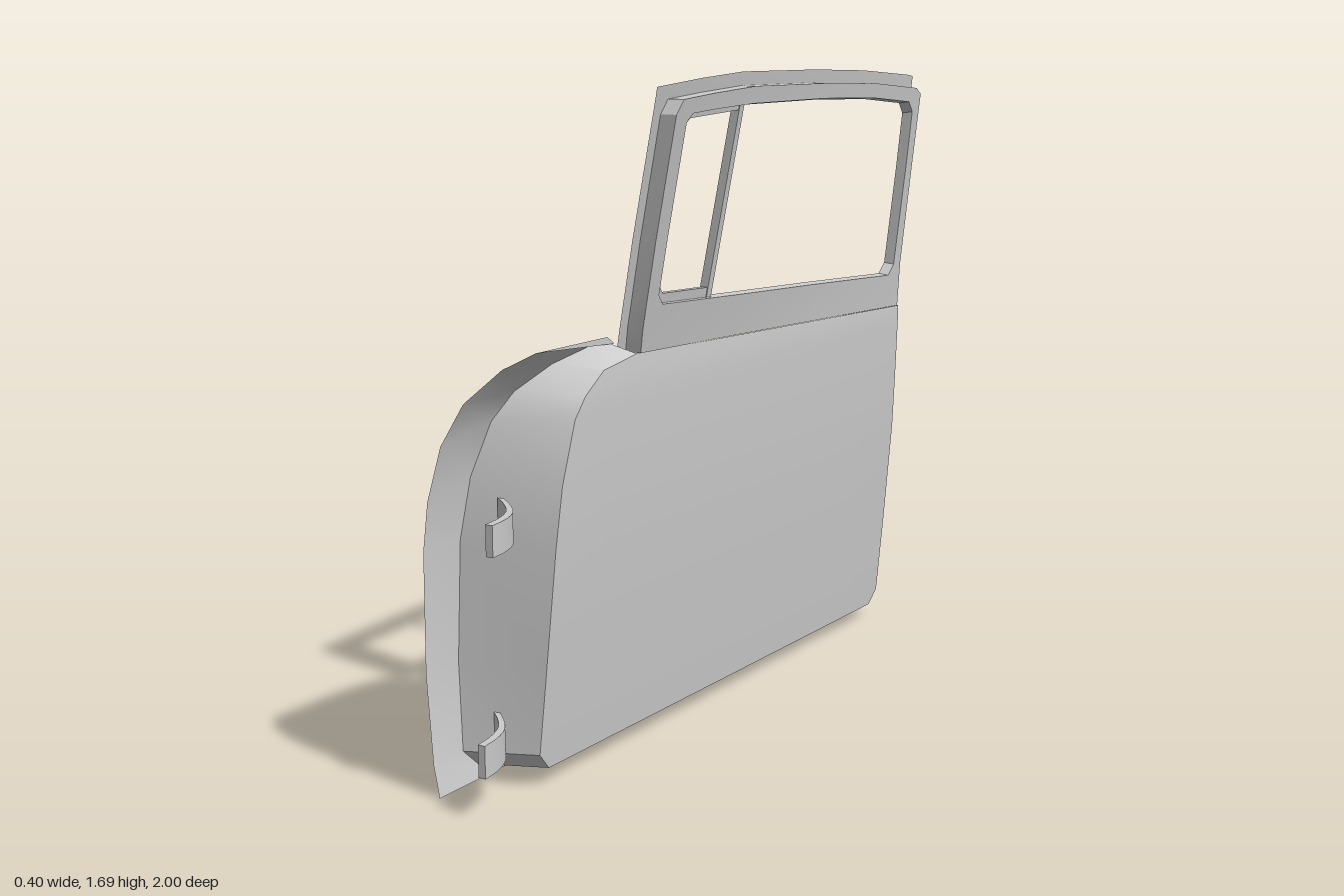
import * as THREE from 'three';
import { toCreasedNormals } from 'three/addons/utils/BufferGeometryUtils.js';

const material = new THREE.MeshStandardMaterial({ color: 0xcccccc, side: THREE.DoubleSide });

// Linear lookup in a list of [y, x] pairs
function lookup(table, y) {
  for (let i = 1; i < table.length; i++) {
    const [y0, x0] = table[i - 1], [y1, x1] = table[i];
    if (y <= y1) return x0 + (x1 - x0) * Math.max(0, y - y0) / (y1 - y0);
  }
  return table[table.length - 1][1];
}

// Depth (x) of the curved outer rim, the inner panel and the leaning window frame
const rimX = (y) => lookup([[0, -0.17], [0.1, -0.19], [0.35, -0.205], [0.6, -0.2], [0.75, -0.185],
  [0.88, -0.155], [0.97, -0.105], [1.03, -0.04], [1.07, 0.02]], y);
const panelX = (y) => lookup([[0.04, 0], [0.2, 0.015], [0.4, 0.034], [0.6, 0.05], [0.8, 0.059], [0.95, 0.064], [1.02, 0.06]], y);
const frameX = (y, z) => 0.06 + Math.max(0, y - 1) / 0.62 * (0.14 - 0.06 * (0.47 - z) / 1.4);

// Place [z, y] outline points in space
const onRim = (pts) => pts.map(([z, y]) => [rimX(y), y, z]);
const onPanel = (pts) => pts.map(([z, y]) => [panelX(y), y, z]);
const onFrame = (pts, back = 0) => pts.map(([z, y]) => [frameX(y, z) - back, y, z]);

// Surface through rows of points
function loft(name, rows, closed = false) {
  const n = rows[0].length, index = [];
  for (let r = 0; r < rows.length - 1; r++) {
    for (let i = 0; i < (closed ? n : n - 1); i++) {
      const j = (i + 1) % n, a = r * n + i, b = r * n + j;
      index.push(a, b, a + n, b, b + n, a + n);
    }
  }
  const geo = new THREE.BufferGeometry();
  geo.setAttribute('position', new THREE.Float32BufferAttribute(rows.flat(2), 3));
  geo.setIndex(index);
  const mesh = new THREE.Mesh(toCreasedNormals(geo, 0.5), material);
  mesh.name = name;
  return mesh;
}

// Edges of the body as [z, y], each from the bottom up
const panelFront = [[0.74, 0.045], [0.78, 0.09], [0.775, 0.3], [0.765, 0.6], [0.745, 0.75], [0.7, 0.9], [0.66, 0.95], [0.58, 1.0], [0.44, 1.02]];
const panelRear = [[-0.9, 0.04], [-0.94, 0.08], [-0.94, 0.3], [-0.94, 0.6], [-0.94, 0.75], [-0.94, 0.87], [-0.94, 0.91], [-0.94, 0.945], [-0.94, 0.97]];
const rimFront = [[0.79, 0.035], [0.835, 0.08], [0.825, 0.3], [0.81, 0.6], [0.785, 0.75], [0.74, 0.88], [0.7, 0.95], [0.62, 1.01], [0.5, 1.055]];
const rimRear = [[-0.9, 0.035], [-0.942, 0.08], [-0.942, 0.3], [-0.942, 0.6], [-0.942, 0.75], [-0.942, 0.88], [-0.942, 0.93], [-0.942, 0.98], [-0.945, 1.02]];
const edgeFront = [[0.945, 0], [0.945, 0.08], [0.945, 0.3], [0.945, 0.6], [0.94, 0.72], [0.92, 0.85], [0.89, 0.95], [0.84, 1.03], [0.78, 1.065]];
const edgeRear = [[-1, 0], [-1, 0.08], [-1, 0.3], [-1, 0.6], [-1, 0.75], [-0.995, 0.88], [-0.985, 0.93], [-0.965, 0.985], [-0.95, 1.02]];
// U-shaped path: down the front, along the bottom, up the rear
const around = (front, rear) => [...front].reverse().concat(rear);

// Window frame outlines as [z, y], from the front foot over the top to the rear foot, then along the belt
const frameOutline = [[0.43, 1.02], [0.44, 1.08], [0.455, 1.3], [0.467, 1.6], [0.445, 1.635], [0.3, 1.645], [0.1, 1.655], [-0.3, 1.65],
  [-0.6, 1.64], [-0.88, 1.618], [-0.915, 1.6], [-0.92, 1.4], [-0.93, 1.1], [-0.94, 0.97], [-0.4, 0.99], [0, 1.005]];
const opening = [[0.37, 1.135], [0.395, 1.16], [0.403, 1.3], [0.413, 1.58], [0.39, 1.6], [0.3, 1.605], [0.1, 1.612], [-0.3, 1.61],
  [-0.6, 1.6], [-0.84, 1.58], [-0.872, 1.55], [-0.88, 1.4], [-0.887, 1.1], [-0.86, 1.07], [-0.4, 1.095], [0, 1.115]];
const frameEdge = [[0.47, 1.03], [0.475, 1.08], [0.49, 1.3], [0.503, 1.64], [0.505, 1.665], [0.3, 1.68], [0.1, 1.69], [-0.3, 1.685],
  [-0.6, 1.675], [-0.9, 1.655], [-0.94, 1.65], [-0.945, 1.4], [-0.95, 1.1], [-0.955, 1.0]];

function hinge(name, y, height, shift) {
  // Curved strap, drawn from above and raised to its height
  const path = new THREE.CatmullRomCurve3([[-0.1, 0.785], [-0.05, 0.825], [0, 0.88], [0.025, 0.94], [0.035, 1]]
    .map(([x, z]) => new THREE.Vector3(x, -z, 0))).getPoints(10);
  const shape = new THREE.Shape([...path.map((p) => new THREE.Vector2(p.x - 0.01, p.y)),
    ...path.reverse().map((p) => new THREE.Vector2(p.x + 0.01, p.y))]);
  const geo = new THREE.ExtrudeGeometry(shape, { depth: height, bevelEnabled: false });
  geo.rotateX(-Math.PI / 2).translate(shift, y, 0);
  const mesh = new THREE.Mesh(toCreasedNormals(geo, 0.5), material);
  mesh.name = name;
  return mesh;
}

export function createModel() {
  const door = new THREE.Group();
  door.name = 'door';

  // Inner panel, spanned from the rear edge to the front edge
  const columns = 8;
  door.add(loft('innerPanel', panelFront.map(([zf, yf], i) => {
    const [zr, yr] = panelRear[i];
    return onPanel(Array.from({ length: columns + 1 }, (_, c) => {
      const t = c / columns;
      return [zr + (zf - zr) * t, yr + (yf - yr) * t];
    }));
  })));

  // Side walls and the flange around the open outer side
  const rim = onRim(around(rimFront, rimRear));
  door.add(loft('sideWalls', [onPanel(around(panelFront, panelRear)), rim]));
  door.add(loft('outerFlange', [rim, onRim(around(edgeFront, edgeRear))]));

  // Shoulder closing the gap between the flange and the window frame foot
  door.add(loft('shoulder', [
    [[rimX(1.055), 1.055, 0.5], [rimX(1.065), 1.065, 0.78]],
    [[0.015, 1.045, 0.47], [0.015, 1.065, 0.5]],
  ]));

  // Window frame: face, stepped side, outer flange and the return inside the opening
  const step = 0.045, sides = frameOutline.slice(0, frameEdge.length);
  const inset = (pts, d) => pts.map(([z, y]) => [z + (z > -0.24 ? -d : d) * (Math.abs(z + 0.24) > 0.55 ? 1 : 0), y + (y > 1.35 ? -d : d)]);
  door.add(loft('windowFrameFace', [onFrame(frameOutline), onFrame(opening)], true));
  door.add(loft('windowFrameStep', [onFrame(sides), onFrame(sides, step)]));
  door.add(loft('windowFrameFlange', [onFrame(sides, step), onFrame(frameEdge, step)]));
  door.add(loft('windowReturn', [onFrame(opening), onFrame(inset(opening, 0.004), 0.03)], true));

  // Quarter window: slim surround and dividing bar
  const vent = [[0.14, 1.122], [0.37, 1.135], [0.395, 1.16], [0.403, 1.3], [0.413, 1.58], [0.39, 1.6], [0.14, 1.61]];
  const ventInner = [[0.14, 1.15], [0.36, 1.16], [0.378, 1.178], [0.387, 1.3], [0.397, 1.575], [0.38, 1.588], [0.14, 1.598]];
  door.add(loft('quarterWindowSurround', [onFrame(vent, 0.012), onFrame(ventInner, 0.012), onFrame(ventInner, 0.032)]));
  const bar = [1.118, 1.28, 1.45, 1.612].map((y) => [[0.128, 0.01], [0.15, 0.01], [0.15, 0.034], [0.128, 0.034]]
    .map(([z, back]) => [frameX(y, z) - back, y, z]));
  door.add(loft('dividingBar', bar, true));

  // Hinges
  door.add(hinge('upperHinge', 0.635, 0.075, 0.005));
  door.add(hinge('lowerHinge', 0.105, 0.08, -0.03));

  return door;
}
